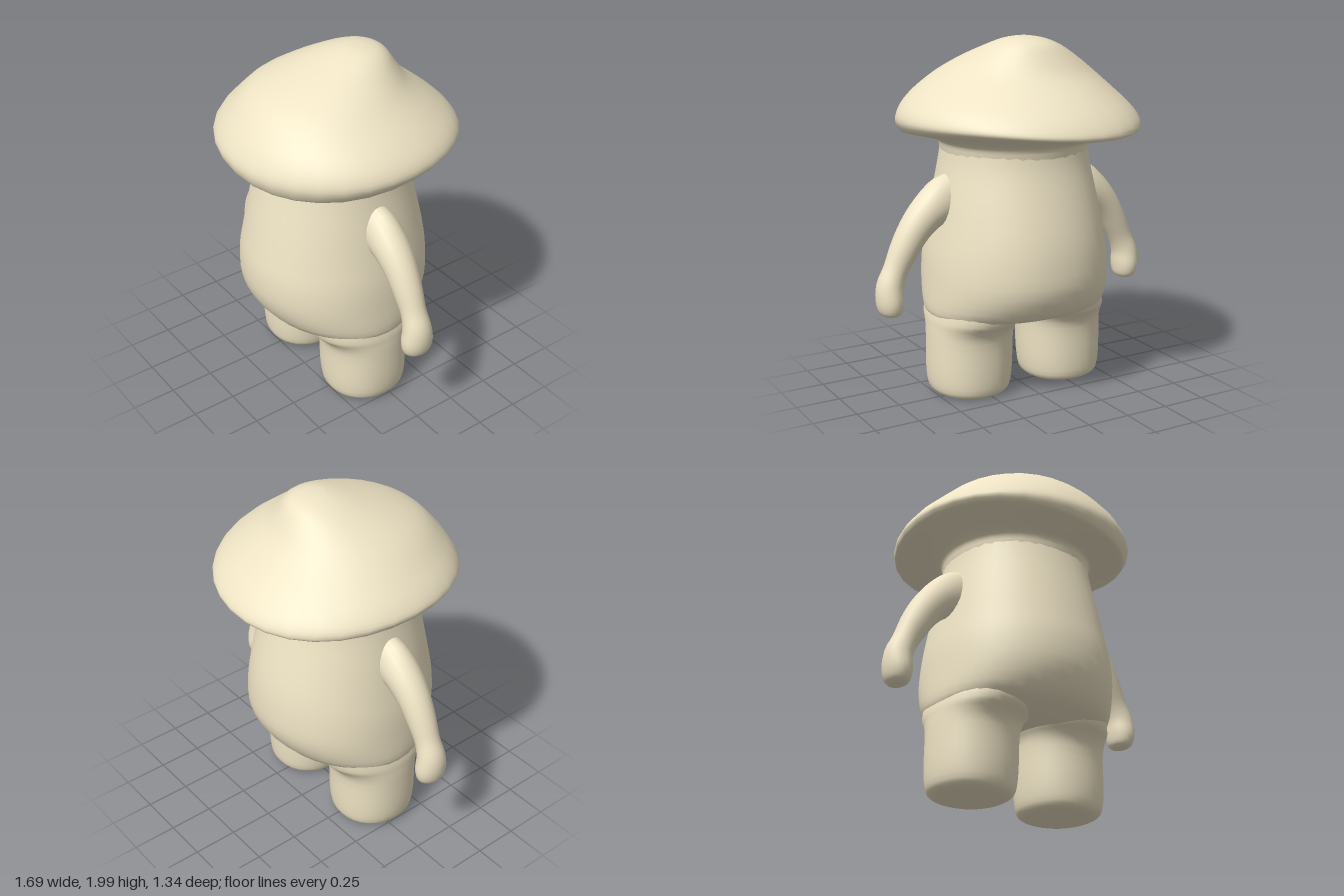
import * as THREE from 'three';

const material = new THREE.MeshStandardMaterial({ color: 0xeee3c4, roughness: 0.9 });

// Smoothly subdivides a list of section rows (Catmull-Rom on every column)
function refine(rows, steps) {
  const at = i => rows[Math.max(0, Math.min(rows.length - 1, i))];
  const out = [];
  for (let i = 0; i < rows.length - 1; i++) {
    for (let s = 0; s < steps; s++) {
      const t = s / steps;
      out.push(rows[i].map((p1, k) => {
        const p0 = at(i - 1)[k], p2 = at(i + 1)[k], p3 = at(i + 2)[k];
        return p1 + 0.5 * t * (p2 - p0 + t * (2 * p0 - 5 * p1 + 4 * p2 - p3 + t * (3 * (p1 - p2) + p3 - p0)));
      }));
    }
  }
  out.push(rows[rows.length - 1]);
  return out;
}

// Skins a list of closed rings and closes both ends
function loft(name, rings) {
  const n = rings[0].length, last = rings.length - 1;
  const points = rings.flat();
  const middle = ring => ring.reduce((sum, p) => sum.add(p), new THREE.Vector3()).divideScalar(n);
  const start = points.length, end = start + 1;
  points.push(middle(rings[0]), middle(rings[last]));
  const index = [];
  for (let j = 0; j < n; j++) {
    const k = (j + 1) % n;
    for (let i = 0; i < last; i++) {
      const a = i * n + j, b = i * n + k;
      index.push(a, b, a + n, b, b + n, a + n);
    }
    index.push(start, k, j, end, last * n + j, last * n + k);
  }
  const geometry = new THREE.BufferGeometry().setFromPoints(points);
  geometry.setIndex(index);
  geometry.computeVertexNormals();
  const mesh = new THREE.Mesh(geometry, material);
  mesh.name = name;
  return mesh;
}

// Horizontal rounded section from rows of [y, xMin, xMax, zMin, zMax]
function section([y, x0, x1, z0, z1], n, power, lift = () => 0, swell = () => 1) {
  const soft = v => Math.sign(v) * Math.abs(v) ** (2 / power);
  return Array.from({ length: n }, (_, j) => {
    const a = j / n * Math.PI * 2, s = swell(a) / 2;
    return new THREE.Vector3(
      (x0 + x1) / 2 + (x1 - x0) * s * soft(Math.cos(a)),
      y + lift(a),
      (z0 + z1) / 2 - (z1 - z0) * s * soft(Math.sin(a)));
  });
}

// Pear-shaped torso with overhanging belly
function makeBody() {
  const rows = [
    [0.442, -0.44, 0.44, -0.18, 0.27],
    [0.458, -0.50, 0.50, -0.28, 0.36],
    [0.505, -0.526, 0.526, -0.395, 0.48],
    [0.64, -0.522, 0.522, -0.475, 0.552],
    [0.80, -0.51, 0.51, -0.48, 0.56],
    [0.95, -0.485, 0.485, -0.46, 0.535],
    [1.12, -0.455, 0.455, -0.42, 0.50],
    [1.30, -0.42, 0.42, -0.375, 0.46],
    [1.42, -0.405, 0.405, -0.363, 0.438],
    [1.52, -0.40, 0.40, -0.36, 0.43],
  ];
  return loft('body', refine(rows, 3).map(r => section(r, 40, 2.1)));
}

// Stubby leg with rounded foot, flaring into the belly
function makeLeg(side) {
  const rows = [
    [0.008, 0.14, 0.44, -0.12, 0.20],
    [0.016, 0.10, 0.485, -0.16, 0.24],
    [0.05, 0.07, 0.52, -0.19, 0.27],
    [0.16, 0.055, 0.532, -0.20, 0.282],
    [0.34, 0.05, 0.53, -0.205, 0.287],
    [0.41, 0.04, 0.526, -0.235, 0.318],
    [0.46, 0.015, 0.522, -0.28, 0.365],
    [0.54, 0.00, 0.505, -0.30, 0.38],
  ].map(([y, x0, x1, z0, z1]) => side > 0 ? [y, x0, x1, z0, z1] : [y, -x1, -x0, z0, z1]);
  return loft(side > 0 ? 'leftLeg' : 'rightLeg', refine(rows, 3).map(r => section(r, 32, 2.15)));
}

// Arm and mitten: rows of [x, y, radius in the bend plane, radius in z]
function makeArm(side) {
  const rows = refine([
    [0.32, 1.16, 0.12, 0.08],
    [0.43, 1.12, 0.135, 0.098],
    [0.53, 1.065, 0.106, 0.10],
    [0.615, 0.975, 0.09, 0.09],
    [0.68, 0.87, 0.08, 0.08],
    [0.732, 0.765, 0.069, 0.07],
    [0.766, 0.68, 0.075, 0.08],
    [0.77, 0.60, 0.075, 0.092],
    [0.766, 0.545, 0.064, 0.082],
    [0.765, 0.52, 0.045, 0.06],
    [0.765, 0.512, 0.02, 0.03],
  ], 3);
  const n = 20;
  const rings = rows.map(([x, y, r, rz], i) => {
    const p = rows[Math.max(0, i - 1)], q = rows[Math.min(rows.length - 1, i + 1)];
    const t = new THREE.Vector2((q[0] - p[0]) * side, q[1] - p[1]).normalize();
    return Array.from({ length: n }, (_, j) => {
      const a = j / n * Math.PI * 2, c = Math.cos(a) * r;
      return new THREE.Vector3(x * side - t.y * c, y + t.x * c, 0.045 + rz * Math.sin(a));
    });
  });
  return loft(side > 0 ? 'leftArm' : 'rightArm', rings);
}

// Mushroom cap with off-centre peak; last columns: strength of the rim's wave and of its uneven outline
function makeCap() {
  const rows = [
    [1.33, -0.40, 0.40, -0.36, 0.44, 0, 0],
    [1.385, -0.412, 0.412, -0.37, 0.447, 0, 0],
    [1.432, -0.425, 0.425, -0.387, 0.46, 0, 0],
    [1.46, -0.49, 0.49, -0.47, 0.52, 0.5, 0.4],
    [1.493, -0.60, 0.615, -0.635, 0.62, 1, 1],
    [1.512, -0.625, 0.645, -0.675, 0.65, 1, 1],
    [1.555, -0.632, 0.668, -0.66, 0.665, 0.5, 1],
    [1.62, -0.595, 0.64, -0.605, 0.635, 0.2, 1],
    [1.70, -0.522, 0.558, -0.512, 0.575, 0, 1],
    [1.80, -0.418, 0.42, -0.39, 0.475, 0, 1],
    [1.88, -0.305, 0.31, -0.327, 0.315, 0, 1],
    [1.95, -0.18, 0.21, -0.275, 0.12, 0, 1],
    [1.985, -0.09, 0.14, -0.215, 0.01, 0, 1],
    [1.999, -0.02, 0.07, -0.14, -0.06, 0, 1],
  ];
  // Rim dips at the front left; the outline is flattened at the back left and fuller at the back right
  const wave = a => -0.02 * Math.cos(a + 1.0) - 0.025 * Math.cos(2 * a + 2.1);
  const uneven = a => 0.02 + 0.02 * Math.cos(a - 2.27) - 0.07 * Math.max(0, Math.cos(a - 0.87)) ** 2;
  return loft('cap', refine(rows, 3).map(r =>
    section(r, 32, 2.05, a => r[5] * wave(a), a => 1 + r[6] * uneven(a))));
}

export function createModel() {
  const model = new THREE.Group();
  model.name = 'mushroomFigure';
  model.add(makeBody(), makeCap());
  for (const side of [1, -1]) model.add(makeLeg(side), makeArm(side));
  return model;
}
